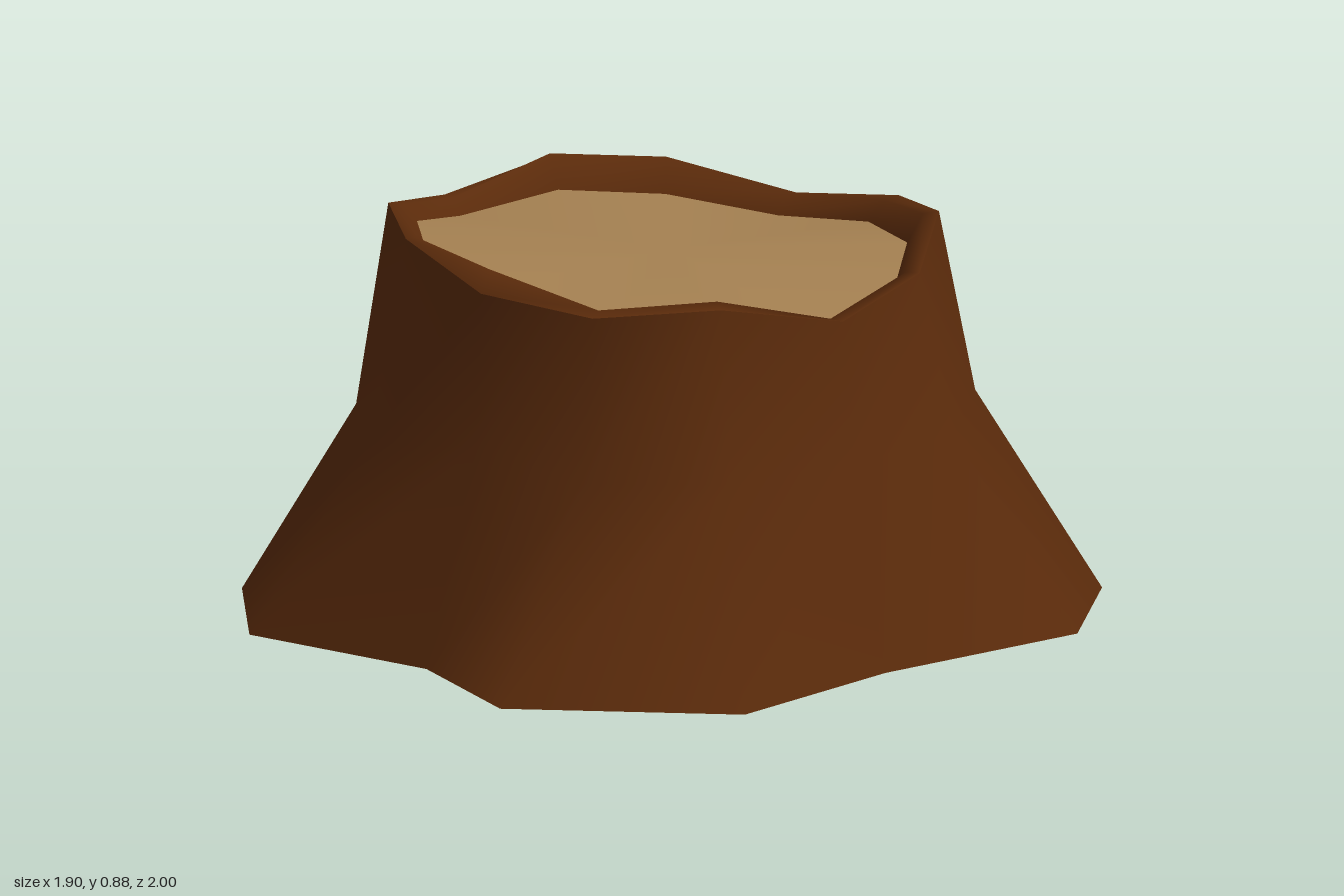
import * as THREE from 'three';

// Skin that joins successive closed rings of [x, y, z] points with smooth normals.
function loft(rings) {
  const n = rings[0].length, index = [];
  for (let r = 0; r < rings.length - 1; r++) {
    for (let i = 0; i < n; i++) {
      const j = (i + 1) % n, a = r * n, b = a + n;
      index.push(a + j, a + i, b + i, a + j, b + i, b + j);
    }
  }
  return build(rings.flat(), index);
}

// Fan from a ring to a centre point.
function fan(ring, centre) {
  const n = ring.length, index = [];
  for (let i = 0; i < n; i++) index.push((i + 1) % n, i, n);
  return build([...ring, centre], index);
}

function build(points, index) {
  const g = new THREE.BufferGeometry();
  g.setAttribute('position', new THREE.Float32BufferAttribute(points.flat(), 3));
  g.setIndex(index);
  g.computeVertexNormals();
  return g;
}

export function createModel() {
  const bark = new THREE.MeshStandardMaterial({ color: 0x5b2b0b, side: THREE.DoubleSide });
  bark.name = 'bark brown';
  const wood = new THREE.MeshStandardMaterial({ color: 0xa48051, side: THREE.DoubleSide });
  wood.name = 'cut wood tan';

  // Flared root outline on the ground, clockwise from the back as seen from above
  const base = [
    [0.07, 0, -1], [0.41, 0, -0.55], [0.86, 0, -0.28], [0.95, 0, 0.07], [0.86, 0, 0.43],
    [0.41, 0, 0.7], [0.07, 0, 1], [-0.46, 0, 0.9], [-0.59, 0, 0.57], [-0.95, 0, 0.26],
    [-0.93, 0, -0.11], [-0.59, 0, -0.43], [-0.29, 0, -0.89],
  ];
  // Waist where the trunk turns into roots, drawn in at the grooves between them
  const waist = [
    [0.06, 0.46, -0.66], [0.35, 0.46, -0.47], [0.59, 0.44, -0.25], [0.67, 0.46, 0.07], [0.59, 0.45, 0.39],
    [0.35, 0.45, 0.6], [0.06, 0.45, 0.74], [-0.26, 0.45, 0.7], [-0.47, 0.48, 0.48], [-0.68, 0.42, 0.22],
    [-0.68, 0.42, -0.09], [-0.47, 0.48, -0.35], [-0.25, 0.45, -0.59],
  ];
  // Uneven broken top edge of the trunk
  const rim = [
    [0.05, 0.83, -0.54], [0.33, 0.775, -0.43], [0.53, 0.825, -0.22], [0.59, 0.87, 0.07], [0.52, 0.81, 0.35],
    [0.33, 0.765, 0.56], [0.05, 0.83, 0.67], [-0.23, 0.81, 0.64], [-0.46, 0.825, 0.47], [-0.6, 0.88, 0.21],
    [-0.61, 0.88, -0.08], [-0.46, 0.82, -0.34], [-0.23, 0.85, -0.5],
  ];
  // Inner edge of the bark, around the sunken cut face
  const inner = [
    [0.04, 0.77, -0.47], [0.28, 0.74, -0.38], [0.46, 0.775, -0.19], [0.52, 0.8, 0.07], [0.46, 0.75, 0.33],
    [0.28, 0.725, 0.51], [0.04, 0.8, 0.6], [-0.2, 0.775, 0.58], [-0.42, 0.83, 0.43], [-0.55, 0.84, 0.19],
    [-0.55, 0.845, -0.05], [-0.43, 0.785, -0.29], [-0.2, 0.795, -0.44],
  ];
  // Crest of the bark lip, midway between its two edges
  const crestHeight = [0.845, 0.785, 0.82, 0.865, 0.81, 0.765, 0.84, 0.82, 0.875, 0.88, 0.88, 0.82, 0.87];
  const crest = rim.map(([x, , z], i) => [(x + inner[i][0]) / 2, crestHeight[i], (z + inner[i][2]) / 2]);

  const group = new THREE.Group();
  group.name = 'treeStump';
  const add = (name, geometry, material) => {
    const mesh = new THREE.Mesh(geometry, material);
    mesh.name = name;
    group.add(mesh);
  };
  add('trunkBark', loft([base, waist, rim]), bark);
  add('barkLip', loft([rim, crest, inner]), bark);
  add('cutFace', fan(inner, [0, 0.8, 0.07]), wood);
  return group;
}
